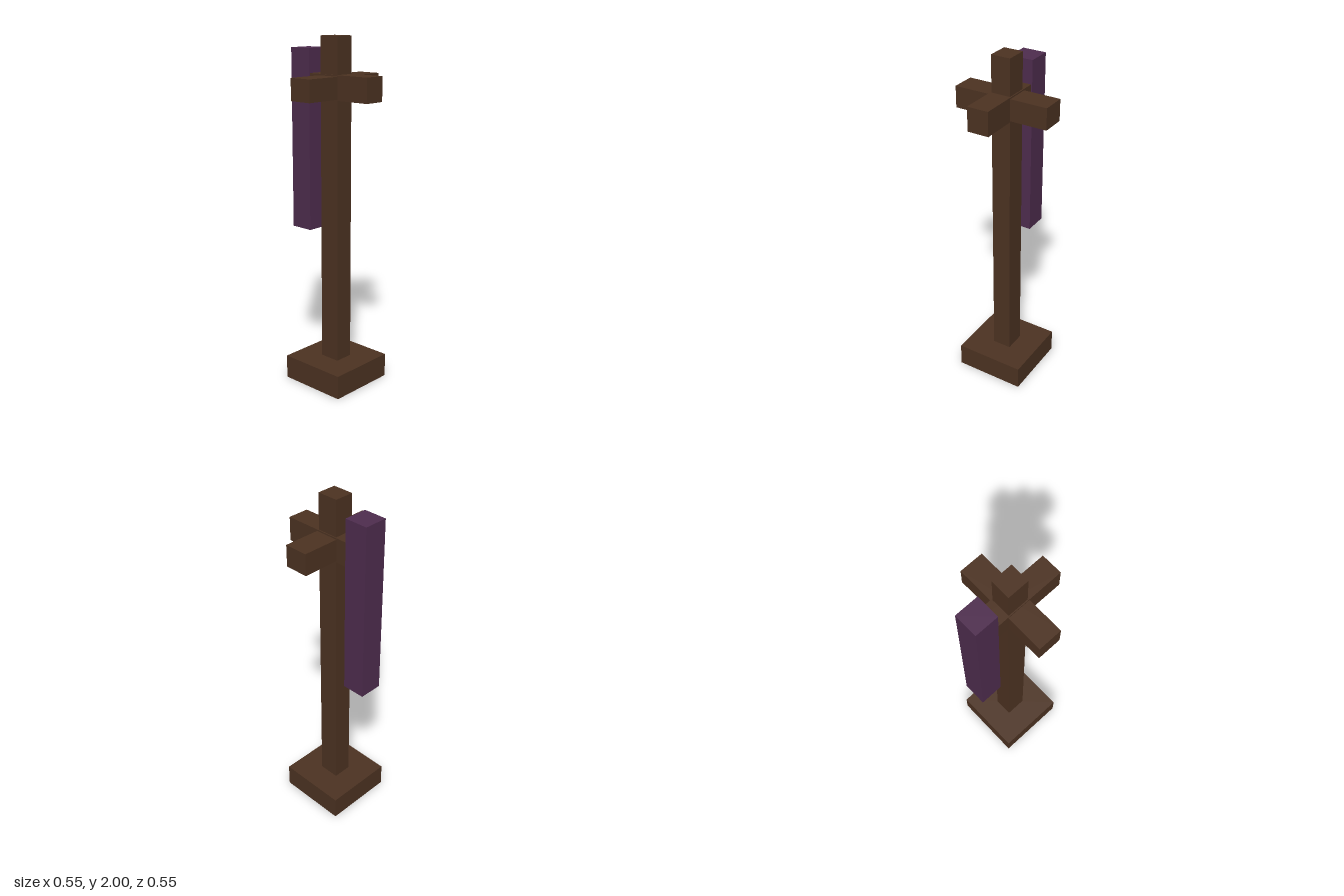
import * as THREE from 'three';

export function createModel() {
  const model = new THREE.Group();
  model.name = 'bannerStand';

  const wood = new THREE.MeshStandardMaterial({ color: 0x4d3322 });
  wood.name = 'dark brown wood';
  wood.side = THREE.DoubleSide;
  const cloth = new THREE.MeshStandardMaterial({ color: 0x4f2d4f });
  cloth.name = 'purple cloth';

  // Box given by its minimum and maximum corners
  function addBox(name, material, [x0, y0, z0], [x1, y1, z1]) {
    const geometry = new THREE.BoxGeometry(x1 - x0, y1 - y0, z1 - z0);
    const mesh = new THREE.Mesh(geometry, material);
    mesh.position.set((x0 + x1) / 2, (y0 + y1) / 2, (z0 + z1) / 2);
    mesh.name = name;
    model.add(mesh);
    return mesh;
  }

  // Hollow foot: five faces, open underneath
  const base = addBox('base', wood, [-0.207, 0, -0.207], [0.207, 0.138, 0.207]);
  const index = Array.from(base.geometry.index.array);
  index.splice(18, 6); // the fourth face of a box is its underside
  base.geometry.setIndex(index);
  base.geometry.clearGroups();

  // Upright post and the two crossing arms
  addBox('post', wood, [-0.056, 0.138, -0.062], [0.056, 2, 0.062]);
  addBox('sideArms', wood, [-0.276, 1.666, -0.069], [0.276, 1.788, 0.069]);
  addBox('frontBackArms', wood, [-0.062, 1.66, -0.274], [0.062, 1.796, 0.276]);

  // Hanging drape over the back arm
  addBox('drape', cloth, [-0.069, 0.9, -0.277], [0.069, 1.931, -0.139]);

  return model;
}
